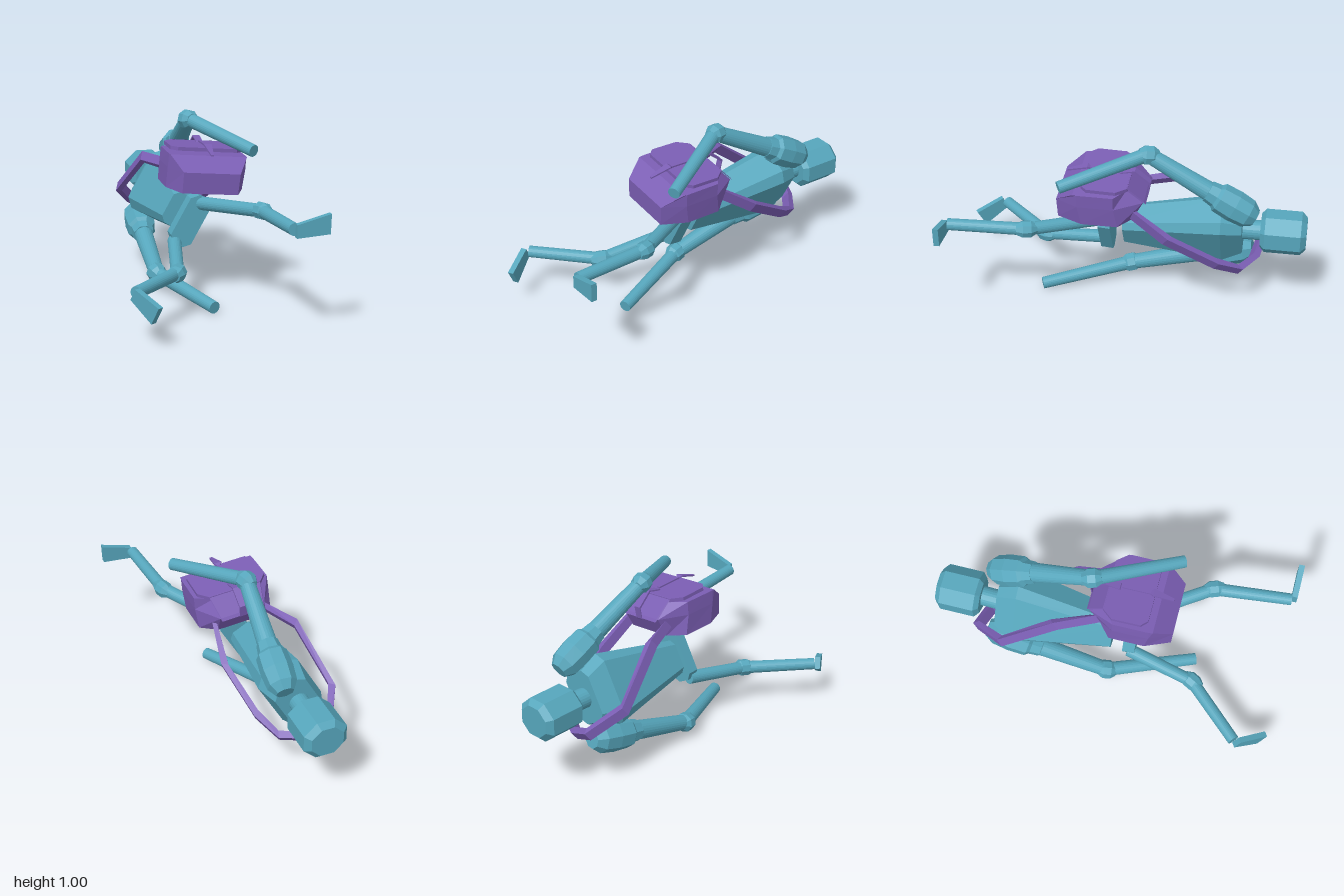
import * as THREE from 'three';

const V = (x, y, z) => new THREE.Vector3(x, y, z);
const add = (p, ...terms) => terms.reduce((s, [d, k]) => s.addScaledVector(d, k), p.clone());

// Capped skin over cross-section rings, wound so that faces look outward
function loft(rings) {
  const tris = [], n = rings[0].length;
  for (let i = 0; i < rings.length - 1; i++) {
    for (let j = 0; j < n; j++) {
      const k = (j + 1) % n, [a, b] = [rings[i], rings[i + 1]];
      tris.push([a[j], a[k], b[k]], [a[j], b[k], b[j]]);
    }
  }
  const first = rings[0], last = rings[rings.length - 1];
  for (let j = 1; j < n - 1; j++) {
    tris.push([first[0], first[j + 1], first[j]], [last[0], last[j], last[j + 1]]);
  }
  const volume = tris.reduce((s, [a, b, c]) => s + a.dot(b.clone().cross(c)), 0);
  const pts = tris.flatMap(([a, b, c]) => (volume > 0 ? [a, b, c] : [a, c, b]));
  const g = new THREE.BufferGeometry().setFromPoints(pts);
  g.computeVertexNormals();
  return g;
}

export function createModel() {
  const root = new THREE.Group();
  const teal = new THREE.MeshStandardMaterial({ color: 0x56a6bc, flatShading: true });
  teal.name = 'teal body';
  const purple = new THREE.MeshStandardMaterial({ color: 0x7b5eb4, flatShading: true });
  purple.name = 'purple bag';

  const put = (name, geometry, material = teal, parent = root) => {
    const m = new THREE.Mesh(geometry, material);
    m.name = name;
    parent.add(m);
    return m;
  };
  // Turns a y-axis geometry so that it runs from p to q
  const aim = (mesh, p, q) => {
    mesh.quaternion.setFromUnitVectors(V(0, 1, 0), q.clone().sub(p).normalize());
    mesh.position.copy(p);
    return mesh;
  };
  const limb = (name, p, q, r0, r1 = r0) => {
    const len = p.distanceTo(q);
    return aim(put(name, new THREE.CylinderGeometry(r1, r0, len, 24).translate(0, len / 2, 0)), p, q);
  };
  // Faceted solid of revolution; profile is [radius, fraction of length]
  const faceted = (name, p, q, profile, sides = 8) => {
    const len = p.distanceTo(q);
    const pts = [[0, profile[0][1]], ...profile, [0, profile[profile.length - 1][1]]]
      .map(([r, t]) => new THREE.Vector2(r, t * len));
    return aim(put(name, new THREE.LatheGeometry(pts, sides, Math.PI / sides)), p, q);
  };

  // Rolled body frame: L runs across the shoulders, P through the chest
  const L = V(0.49, 0.87, 0), P = V(-0.87, 0.49, 0);
  const section = (x, y, z, a, b, c) =>
    [[a, b - c], [a - c, b], [c - a, b], [-a, b - c], [-a, c - b], [c - a, -b], [a - c, -b], [a, c - b]]
      .map(([l, p]) => add(V(x, y, z), [L, l], [P, p]));

  put('torso', loft([
    section(-0.05, 0.46, 0.025, 0.098, 0.085, 0.03),
    section(-0.055, 0.483, -0.53, 0.2, 0.13, 0.05),
    section(-0.055, 0.485, -0.645, 0.145, 0.1, 0.04),
  ]));
  put('pelvis', loft([
    section(-0.025, 0.435, 0.09, 0.15, 0.07, 0.035),
    section(-0.025, 0.435, 0.16, 0.15, 0.065, 0.035),
  ]));
  limb('neck', V(-0.055, 0.485, -0.62), V(-0.052, 0.488, -0.76), 0.056);
  const head = faceted('head', V(-0.052, 0.49, -0.745), V(-0.052, 0.49, -1),
    [[0.1, 0], [0.128, 0.1], [0.128, 0.88], [0.095, 1]]);
  head.scale.set(1.03, 1, 0.95);

  // Arms: shoulder cap, upper arm, elbow, forearm
  const cap = [[0.05, 0], [0.082, 0.16], [0.09, 0.45], [0.085, 0.76], [0.068, 0.82], [0.06, 1]];
  const bead = [[0.03, 0], [0.055, 0.3], [0.055, 0.7], [0.035, 1]];
  const arm = (side, top, capEnd, elbow, start, hand) => {
    faceted(side + 'Shoulder', top, capEnd, cap);
    limb(side + 'UpperArm', capEnd, elbow, 0.054, 0.043);
    const d = hand.clone().sub(capEnd).normalize();
    faceted(side + 'Elbow', add(elbow, [d, -0.055]), add(elbow, [d, 0.055]), bead);
    limb(side + 'Forearm', start, hand, 0.04, 0.034);
  };
  arm('left', V(0.06, 0.635, -0.715), V(0.048, 0.775, -0.45),
    V(0.025, 0.955, -0.12), V(0.04, 0.952, -0.085), V(0.28, 0.855, 0.335));
  arm('right', V(-0.165, 0.295, -0.7), V(-0.18, 0.22, -0.38),
    V(-0.188, 0.105, 0.01), V(-0.175, 0.1, 0.04), V(0.023, 0.042, 0.5));

  // Legs: thigh, knee, shin and a foot that widens toward the toe
  const knob = [[0.025, 0], [0.048, 0.3], [0.048, 0.7], [0.03, 1]];
  const leg = (side, hip, knee, ankle, heel, toe, across) => {
    limb(side + 'Thigh', hip, knee, 0.038, 0.036);
    const d = ankle.clone().sub(hip).normalize();
    faceted(side + 'Knee', add(knee, [d, -0.06]), add(knee, [d, 0.06]), knob);
    limb(side + 'Shin', knee, ankle, 0.036, 0.033);
    const w = across.normalize();
    const t = toe.clone().sub(heel).cross(w).normalize();
    const end = (c, h) => [[1, 1], [1, -1], [-1, -1], [-1, 1]]
      .map(([i, j]) => add(c, [w, i * h], [t, j * 0.016]));
    put(side + 'Foot', loft([end(heel, 0.035), end(toe, 0.053)]));
  };
  leg('left', V(0.03, 0.53, 0.13), V(0.275, 0.57, 0.52), V(0.315, 0.583, 0.955),
    V(0.32, 0.577, 0.968), V(0.498, 0.607, 0.968), V(0.03, 1, 0));
  leg('right', V(-0.11, 0.32, 0.12), V(-0.185, 0.257, 0.515), V(-0.47, 0.268, 0.82),
    V(-0.48, 0.268, 0.84), V(-0.395, 0.19, 0.972), V(0.27, 0.88, 0.4));

  // Shoulder bag, tipped slightly toward its left
  const bag = new THREE.Group();
  bag.name = 'bag';
  bag.position.set(0.042, 0.73, 0);
  bag.rotation.z = -0.09;
  root.add(bag);
  // Mirrors [x, z] points given front to back into a closed plan outline
  const plan = (y, half, slope = 0) => [
    ...half.map(([x, z]) => V(x, y + slope * z, z)),
    ...[...half].reverse().map(([x, z]) => V(-x, y + slope * z, z)),
  ];
  put('bagBody', loft([
    plan(-0.095, [[0.155, 0.36], [0.215, 0.22], [0.215, 0.02], [0.13, -0.05]]),
    plan(0.02, [[0.157, 0.365], [0.218, 0.24], [0.22, 0.04], [0.13, -0.11]]),
    plan(0.095, [[0.214, 0.262], [0.217, 0.24], [0.218, 0.04], [0.13, -0.02]]),
  ]), purple, bag);
  const flap = [[0.165, 0.225], [0.2, 0.19], [0.2, 0.03], [0.15, -0.03]];
  put('bagLid', loft([plan(0.103, flap, 0.03), plan(0.123, flap, 0.03)]), purple, bag);
  const row = (w, y, z) => [V(w, y, z), V(-w, y, z), V(-w, y - 0.016, z - 0.01), V(w, y - 0.016, z - 0.01)];
  put('lidBack', loft([row(0.15, 0.123, -0.025), row(0.125, 0.025, -0.115)]), purple, bag);
  put('bagBase', new THREE.BoxGeometry(0.22, 0.012, 0.18).translate(0, -0.1, 0.1), purple, bag);

  // Closing strap with its flared tongue
  const tongue = (w, y, z) => [V(w, y, z), V(-w, y, z), V(-w, y - 0.009, z), V(w, y - 0.009, z)];
  put('closingStrap', loft([
    tongue(0.008, 0.136, 0.04), tongue(0.01, 0.142, 0.2), tongue(0.022, 0.15, 0.215), tongue(0.008, 0.115, 0.33),
  ]), purple, bag);

  // Thin carry handle behind the lid
  const grip = [[0.03, 0.13], [-0.05, 0.147], [-0.135, 0.075], [-0.125, 0.005]].map(([z, y]) =>
    [[-0.02, 0], [0.02, 0], [0.02, 1], [-0.02, 1]].map(([x, k]) => V(x, y - k * 0.009, z + k * 0.007)));
  put('carryHandle', loft(grip), purple, bag);

  // Broad sash running from the bag around the torso and back
  const normal = V(0.3, 0.78, -0.55).normalize(), middle = V(-0.04, 0.5, -0.38);
  const sash = [
    [-0.11, 0.715, -0.07], [-0.2, 0.715, -0.28], [-0.285, 0.475, -0.57], [-0.19, 0.36, -0.745],
    [-0.06, 0.3, -0.715], [0.055, 0.285, -0.635], [0.13, 0.36, -0.51], [0.205, 0.53, -0.25], [0.18, 0.675, -0.04],
  ].map((p) => {
    const c = V(...p), out = c.clone().sub(middle);
    out.addScaledVector(normal, -out.dot(normal)).normalize();
    return [[1, 1], [1, -1], [-1, -1], [-1, 1]]
      .map(([i, j]) => add(c, [normal, i * 0.028], [out, j * 0.02]));
  });
  put('sash', loft(sash), purple);
  return root;
}
